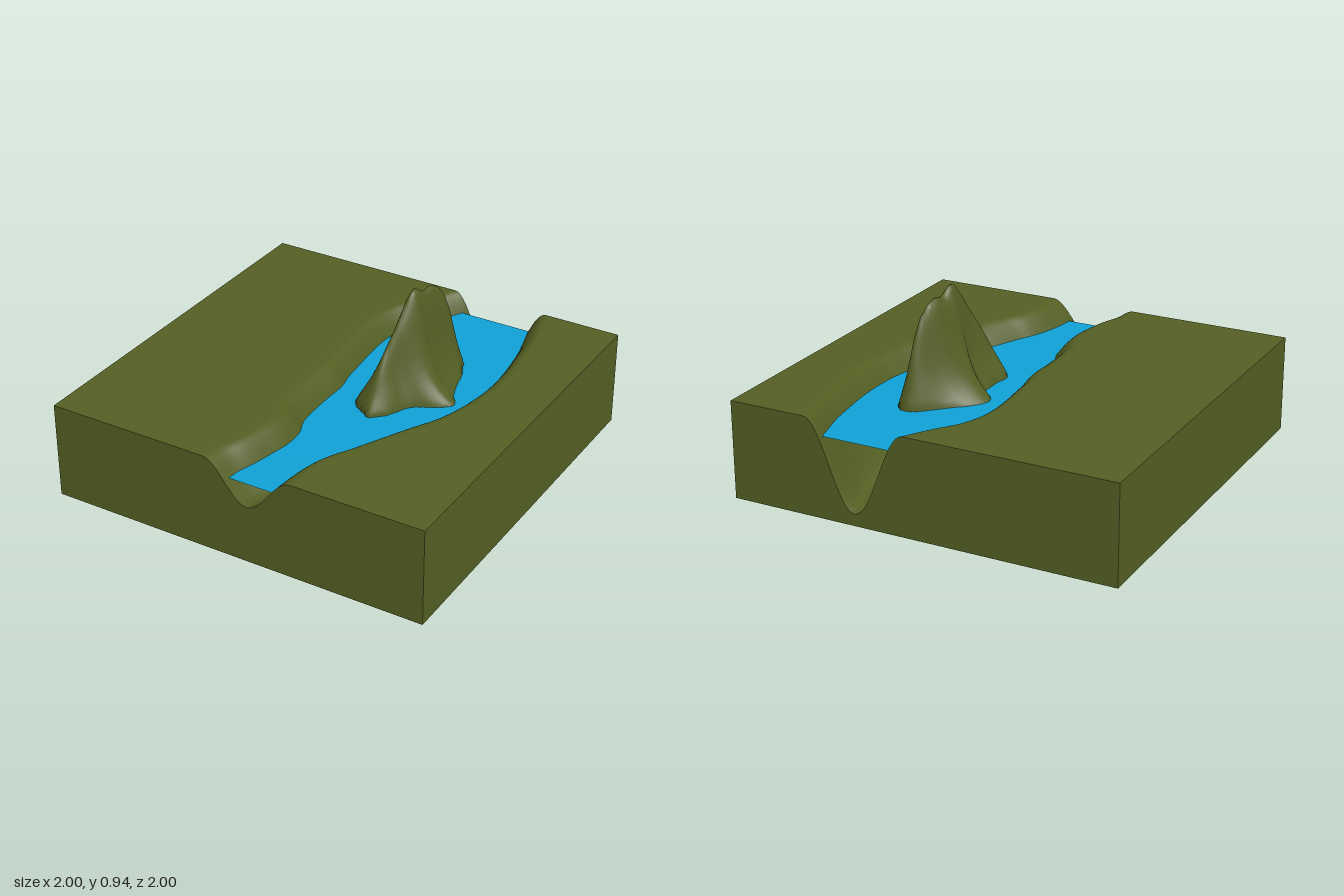
import * as THREE from 'three';

const LAND = 0.5, WATER = 0.4, SEGMENTS = 160;

// Smooth lookup through rows of [z, a, b, ...]
function smoothRows(rows) {
  const size = rows[0].length - 1;
  const curve = new THREE.CubicInterpolant(rows.map(r => r[0]), rows.flatMap(r => r.slice(1)), size, new Array(size));
  return z => curve.evaluate(z);
}

// River: z, left bank, right bank (at water level)
const river = smoothRows([
  [-1, 0.155, 0.515], [-0.97, 0.14, 0.52], [-0.85, 0.07, 0.55], [-0.75, 0, 0.575], [-0.62, -0.05, 0.595],
  [-0.5, -0.065, 0.61], [-0.35, -0.06, 0.62], [-0.2, -0.045, 0.615], [-0.1, -0.035, 0.6], [0, -0.015, 0.58],
  [0.15, -0.015, 0.53], [0.3, -0.01, 0.45], [0.38, 0, 0.41], [0.47, 0.035, 0.365], [0.53, 0.042, 0.34],
  [0.6, 0.04, 0.31], [0.68, 0.025, 0.27], [0.8, 0, 0.23], [0.9, -0.027, 0.21], [1, -0.035, 0.2],
]);

// Island: z, left shore, ridge x, right shore, ridge height above water
const island = smoothRows([
  [-0.56, 0.31, 0.34, 0.37, -0.1], [-0.53, 0.31, 0.34, 0.37, 0.01], [-0.5, 0.27, 0.335, 0.395, 0.1],
  [-0.46, 0.23, 0.33, 0.41, 0.27], [-0.4, 0.17, 0.32, 0.44, 0.42], [-0.32, 0.085, 0.3, 0.46, 0.5],
  [-0.24, 0.04, 0.29, 0.485, 0.5], [-0.19, 0.055, 0.28, 0.505, 0.535], [-0.15, 0.1, 0.28, 0.535, 0.53],
  [-0.11, 0.12, 0.27, 0.54, 0.48], [-0.06, 0.12, 0.265, 0.48, 0.41], [0, 0.12, 0.25, 0.38, 0.32],
  [0.08, 0.11, 0.24, 0.335, 0.2], [0.13, 0.14, 0.235, 0.31, 0.1], [0.19, 0.22, 0.24, 0.26, 0],
  [0.23, 0.22, 0.24, 0.26, -0.1],
]);

// River bed, deeper towards the back
function bedHeight(x, z) {
  const [left, right] = river(z);
  const depth = THREE.MathUtils.lerp(0.44, 0.2, (z + 1) / 2);
  const shore = Math.acos(1 - 2 * (LAND - WATER) / depth) / Math.PI;
  const slope = Math.min((right - left) / 2 / (1 - shore), 0.28);
  const inside = Math.min(x - left, right - x) + slope * shore;
  const t = THREE.MathUtils.clamp(inside / slope, 0, 1);
  return LAND - depth * (0.5 - 0.5 * Math.cos(Math.PI * t));
}

// Island ridge with a bell-shaped section, rounder at the low ends
function islandHeight(x, z) {
  if (z < -0.56 || z > 0.23) return 0;
  const [left, ridge, right, rise] = island(z);
  const t = x < ridge ? (ridge - x) / (ridge - left) : (x - ridge) / (right - ridge);
  if (rise <= 0) return WATER + rise - 0.3 * t;
  const bell = 1 / (1 + Math.pow(t / 0.36, 2.2)) - 0.095 * t * t;
  const section = THREE.MathUtils.lerp(1 - t * t, bell, Math.min(rise / 0.5, 1));
  return WATER + rise * section - 0.5 * Math.max(t - 1, 0);
}

const height = (x, z) => Math.max(bedHeight(x, z), islandHeight(x, z));

// Moves every vertex of a geometry by a rule
function moveVertices(geometry, rule) {
  const p = geometry.attributes.position;
  const v = new THREE.Vector3();
  for (let i = 0; i < p.count; i++) {
    rule(v.fromBufferAttribute(p, i));
    p.setXYZ(i, v.x, v.y, v.z);
  }
  return geometry;
}

export function createModel() {
  const model = new THREE.Group();
  model.name = 'riverIsland';

  const grass = new THREE.MeshStandardMaterial({ color: 0x535e23 });
  grass.name = 'olive grass';
  const blue = new THREE.MeshStandardMaterial({ color: 0x0fa0d4, side: THREE.DoubleSide });
  blue.name = 'blue water';

  const add = (name, geometry, material) => {
    const mesh = new THREE.Mesh(geometry, material);
    mesh.name = name;
    model.add(mesh);
  };

  // Ground surface with river bed and island
  const ground = new THREE.PlaneGeometry(2, 2, SEGMENTS, SEGMENTS).rotateX(-Math.PI / 2);
  moveVertices(ground, v => { v.y = height(v.x, v.z); });
  ground.computeVertexNormals();
  add('ground', ground, grass);

  // Side walls, cut to the ground's profile
  ['frontWall', 'leftWall', 'backWall', 'rightWall'].forEach((name, k) => {
    const wall = new THREE.PlaneGeometry(2, 1, SEGMENTS, 1).translate(0, 0, 1).rotateY(k * Math.PI / 2);
    moveVertices(wall, v => { v.y = v.y > 0 ? height(v.x, v.z) : 0; });
    add(name, wall, grass);
  });

  // Underside
  add('base', new THREE.PlaneGeometry(2, 2).rotateX(Math.PI / 2), grass);

  // Water surface, tucked slightly into the banks
  const water = new THREE.PlaneGeometry(2, 1.93, 1, 80).rotateX(-Math.PI / 2);
  moveVertices(water, v => {
    const [left, right] = river(v.z);
    v.x = v.x < 0 ? left - 0.01 : right + 0.01;
    v.y = WATER;
  });
  add('water', water, blue);

  return model;
}
